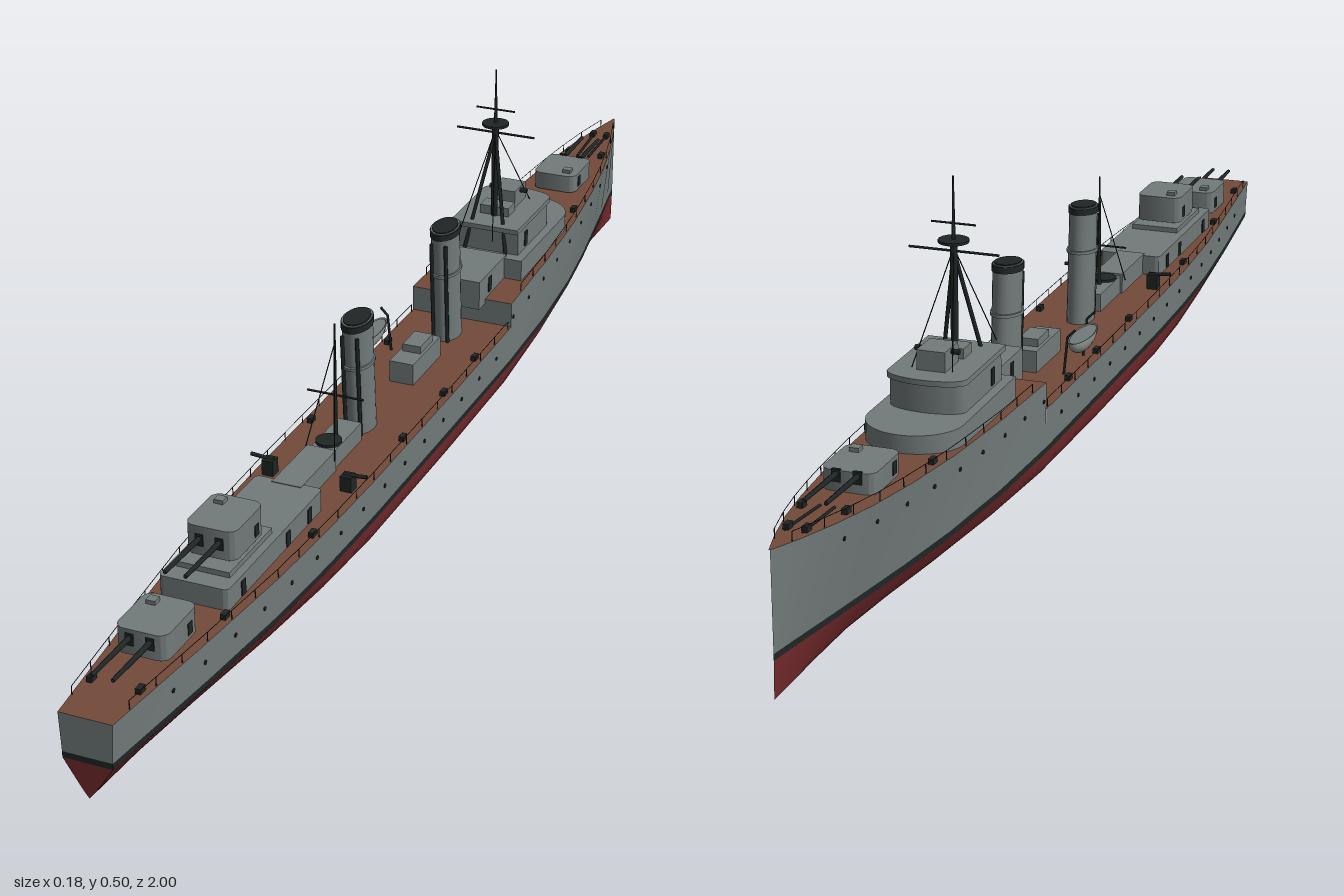
import * as THREE from 'three';
import { toCreasedNormals } from 'three/addons/utils/BufferGeometryUtils.js';

const mat = (name, color, side = THREE.FrontSide) => {
  const m = new THREE.MeshStandardMaterial({ color, side });
  m.name = name;
  return m;
};

// Hull stations: z, deck half-width, waterline half-width, deck height, bilge fullness
const STATIONS = [
  [-1, 0.001, 0.001, 0.2, 0], [-0.95, 0.017, 0.009, 0.196, 0], [-0.88, 0.035, 0.021, 0.191, 0.1],
  [-0.8, 0.05, 0.034, 0.185, 0.2], [-0.7, 0.063, 0.05, 0.179, 0.4], [-0.58, 0.074, 0.066, 0.173, 0.6],
  [-0.42, 0.082, 0.079, 0.167, 0.8], [-0.25, 0.086, 0.085, 0.163, 0.95], [-0.25, 0.086, 0.085, 0.122, 0.95],
  [0, 0.087, 0.086, 0.12, 1], [0.3, 0.087, 0.086, 0.12, 1], [0.45, 0.084, 0.083, 0.12, 0.9],
  [0.6, 0.077, 0.076, 0.12, 0.7], [0.78, 0.061, 0.06, 0.12, 0.4], [0.9, 0.049, 0.047, 0.12, 0.2], [1, 0.039, 0.036, 0.12, 0.05],
];

// Interpolated station at z
function stationAt(z) {
  let i = 0;
  while (i < STATIONS.length - 2 && z > STATIONS[i + 1][0]) i++;
  const a = STATIONS[i], b = STATIONS[i + 1], t = (z - a[0]) / (b[0] - a[0] || 1);
  return a.map((v, k) => v + (b[k] - v) * t);
}
const deckY = (z) => stationAt(z)[3];

// Cross-section from the deck edge down to the keel
function section([z, w, wl, d, f]) {
  const bilge = [[0.65, 0.985], [0.4, 0.92], [0.22, 0.8], [0.13, 0.62], [0, 0]];
  return [[w, d], [wl, 0.062], [wl, 0.053], ...bilge.map(([t, full]) => [wl * (t + (full - t) * f), 0.053 * t])]
    .map(([x, y]) => [x, y, z]);
}

export function createModel() {
  const ship = new THREE.Group();
  ship.name = 'warship';
  const grey = mat('hull grey', 0x727a7a);
  const red = mat('bottom red', 0x742a2c);
  const brown = mat('deck brown', 0x734a39);
  const black = mat('dark fittings', 0x1f2625);
  const pale = mat('boat grey', 0x929896, THREE.DoubleSide);

  const add = (name, geo, material, x = 0, y = 0, z = 0, parent = ship) => {
    const m = new THREE.Mesh(geo, material);
    m.name = name;
    m.position.set(x, y, z);
    parent.add(m);
    return m;
  };
  // Box standing on y
  const box = (name, w, h, d, material, x, y, z, parent) =>
    add(name, new THREE.BoxGeometry(w, h, d), material, x, y + h / 2, z, parent);
  // Round bar between two points
  const rod = (name, a, b, r, material = black, parent = ship, r2 = r) => {
    const p = new THREE.Vector3(...a), q = new THREE.Vector3(...b), dir = q.clone().sub(p);
    const m = add(name, new THREE.CylinderGeometry(r2, r, dir.length(), 6), material, 0, 0, 0, parent);
    m.position.copy(p).add(q).multiplyScalar(0.5);
    m.quaternion.setFromUnitVectors(new THREE.Vector3(0, 1, 0), dir.normalize());
    return m;
  };
  // Upright prism from a plan shape whose +y points to the bow
  const prism = (name, shape, h, material, x, y, z, parent) => {
    const geo = new THREE.ExtrudeGeometry(shape, { depth: h, bevelEnabled: false, curveSegments: 8 });
    return add(name, toCreasedNormals(geo.rotateX(-Math.PI / 2), 0.6), material, x, y, z, parent);
  };
  const roundedPlan = (w, d, r) => {
    const s = new THREE.Shape(), a = w / 2 - r, b = d / 2 - r;
    s.absarc(a, b, r, 0, Math.PI / 2).absarc(-a, b, r, Math.PI / 2, Math.PI);
    s.absarc(-a, -b, r, Math.PI, Math.PI * 1.5).absarc(a, -b, r, Math.PI * 1.5, Math.PI * 2);
    return s;
  };
  // Plan with a curved front: half-width, length of straight part, depth of curve
  const bowedPlan = (w, len, curve) => {
    const s = new THREE.Shape();
    s.moveTo(-w, 0).lineTo(w, 0).lineTo(w, len);
    s.absellipse(0, len, w, curve, 0, Math.PI, false, 0);
    return s;
  };

  // Hull plating, sorted by colour
  const faces = { side: [], stripe: [], bottom: [], deck: [] };
  const quad = (key, a, b, c, d) => faces[key].push(...a, ...b, ...c, ...a, ...c, ...d);
  const flip = ([x, y, z]) => [-x, y, z];
  const rowKey = (j) => (j === 0 ? 'side' : j === 1 ? 'stripe' : 'bottom');
  const rings = STATIONS.map(section);
  for (let i = 0; i < rings.length - 1; i++) {
    const p = rings[i], q = rings[i + 1];
    const step = STATIONS[i][0] === STATIONS[i + 1][0];
    quad(step ? 'side' : 'deck', flip(p[0]), flip(q[0]), q[0], p[0]);
    for (let j = 0; !step && j < p.length - 1; j++) {
      quad(rowKey(j), p[j], q[j], q[j + 1], p[j + 1]);
      quad(rowKey(j), flip(p[j + 1]), flip(q[j + 1]), flip(q[j]), flip(p[j]));
    }
  }
  const end = rings[rings.length - 1];
  for (let j = 0; j < end.length - 1; j++) quad(rowKey(j), flip(end[j]), flip(end[j + 1]), end[j + 1], end[j]);
  const hullParts = [['hullSides', 'side', grey], ['waterlineStripe', 'stripe', black], ['hullBottom', 'bottom', red], ['deck', 'deck', brown]];
  for (const [name, key, material] of hullParts) {
    const geo = new THREE.BufferGeometry();
    geo.setAttribute('position', new THREE.Float32BufferAttribute(faces[key], 3));
    add(name, toCreasedNormals(geo, 0.5), material);
  }

  // Twin gun turrets; dir is +1 facing the stern, -1 facing the bow
  const turret = (name, y, z, dir, h = 0.042) => {
    const g = new THREE.Group();
    g.name = name;
    g.position.set(0, y, z);
    if (dir < 0) g.rotation.y = Math.PI;
    ship.add(g);
    add('turretRing', new THREE.CylinderGeometry(0.03, 0.03, 0.008, 20), grey, 0, 0.002, 0, g);
    prism('gunHouse', roundedPlan(0.076, 0.092, 0.015), h - 0.004, grey, 0, 0.004, 0, g);
    box('turretHatch', 0.014, 0.006, 0.014, grey, -0.018, h, -0.025, g);
    for (const s of [-1, 1]) {
      rod('gunBarrel', [s * 0.015, 0.029, 0.04], [s * 0.015, 0.031, 0.145], 0.0042, black, g, 0.003);
      box('gunPort', 0.012, 0.018, 0.004, black, s * 0.015, 0.018, 0.0455, g);
      box('turretDoor', 0.002, 0.018, 0.012, black, s * 0.038, 0.01, -0.02, g);
    }
  };
  turret('sternTurret', 0.12, 0.808, 1);
  turret('upperAftTurret', 0.16, 0.608, 1, 0.048);
  turret('bowTurret', deckY(-0.72) - 0.002, -0.722, -1, 0.034);

  // After deckhouses
  prism('aftDeckhouse', roundedPlan(0.104, 0.3, 0.008), 0.034, grey, 0, 0.118, 0.555);
  box('aftTurretBase', 0.08, 0.04, 0.13, grey, 0, 0.12, 0.61);
  box('aftPassage', 0.046, 0.034, 0.12, grey, 0, 0.119, 0.355);
  box('aftMastHouse', 0.038, 0.03, 0.11, grey, 0, 0.119, 0.25);
  box('midDeckhouse', 0.04, 0.036, 0.11, grey, 0, 0.119, -0.055);
  box('midLocker', 0.03, 0.012, 0.05, grey, 0, 0.155, -0.065);
  for (const s of [-1, 1]) {
    for (const z of [0.45, 0.52, 0.66]) box('deckhouseDoor', 0.002, 0.022, 0.012, black, s * 0.0525, 0.122, z);
    rod('sideGun', [s * 0.055, 0.143, 0.34], [s * 0.092, 0.146, 0.34], 0.003);
    box('sideGunMount', 0.018, 0.024, 0.018, black, s * 0.062, 0.12, 0.34);
  }

  // Bridge structure
  prism('forecastleHouse', bowedPlan(0.07, 0.2, 0.065), 0.036, grey, 0, 0.164, -0.335);
  box('bridgeRearHouse', 0.08, 0.048, 0.12, grey, 0, 0.155, -0.285);
  prism('bridge', bowedPlan(0.056, 0.135, 0.022), 0.044, grey, 0, 0.198, -0.355);
  prism('bridgeTop', bowedPlan(0.059, 0.15, 0.024), 0.008, grey, 0, 0.241, -0.343);
  box('director', 0.042, 0.03, 0.05, grey, 0, 0.248, -0.455);
  rod('rangefinder', [-0.033, 0.272, -0.455], [0.033, 0.272, -0.455], 0.004);
  box('bridgeLocker', 0.05, 0.016, 0.03, grey, 0, 0.248, -0.405);
  for (const s of [-1, 1]) {
    box('bridgeDoor', 0.002, 0.025, 0.012, black, s * 0.0565, 0.205, -0.39);
    box('rearHouseDoor', 0.002, 0.025, 0.012, black, s * 0.0405, 0.17, -0.27);
  }

  // Raked oval funnels
  const funnel = (name, z, top) => {
    const h = top - 0.118, g = new THREE.Group();
    g.name = name;
    g.position.set(0, 0.118, z);
    g.rotation.x = 0.07;
    ship.add(g);
    const oval = (part, r, y, hh, material) => {
      const m = add(part, new THREE.CylinderGeometry(r, r, hh, 24), material, 0, y, 0, g);
      m.scale.z = 1.5;
    };
    oval('funnelCasing', 0.021, h / 2, h, grey);
    oval('funnelBand', 0.0235, h * 0.62, 0.005, grey);
    oval('funnelRim', 0.0225, h - 0.006, 0.01, black);
    oval('funnelMouth', 0.019, h + 0.0005, 0.003, black);
    for (const s of [-1, 1]) rod('steamPipe', [s * 0.012, 0, 0.03], [s * 0.012, h * 0.9, 0.03], 0.003, black, g);
  };
  funnel('aftFunnel', 0.152, 0.306);
  funnel('forwardFunnel', -0.19, 0.315);

  // Foremast tripod with yards and lookout platform
  const mz = -0.39;
  rod('foremast', [0, 0.2, mz], [0, 0.41, mz], 0.0055);
  rod('foreTopmast', [0, 0.4, mz], [0, 0.503, mz], 0.003, black, ship, 0.0012);
  for (const s of [-1, 1]) {
    rod('mastLeg', [s * 0.036, 0.2, mz + 0.04], [0, 0.395, mz], 0.003);
    rod('mastStay', [s * 0.03, 0.24, mz + 0.085], [0, 0.4, mz], 0.0008);
    rod('mastStay', [s * 0.03, 0.25, mz - 0.085], [0, 0.4, mz], 0.0008);
  }
  add('lookoutPlatform', new THREE.CylinderGeometry(0.022, 0.022, 0.004, 16), black, 0, 0.41, mz);
  rod('lowerYard', [-0.067, 0.395, mz], [0.067, 0.395, mz], 0.0018);
  rod('upperYard', [-0.033, 0.435, mz], [0.033, 0.435, mz], 0.0015);

  // Mainmast
  rod('mainmast', [0, 0.14, 0.245], [0, 0.33, 0.245], 0.0035, black, ship, 0.0012);
  rod('mainYard', [-0.045, 0.215, 0.245], [0.045, 0.215, 0.245], 0.0016);
  add('searchlightPlatform', new THREE.CylinderGeometry(0.02, 0.02, 0.004, 14), black, 0, 0.152, 0.27);
  for (const s of [-1, 1]) rod('mainStay', [s * 0.025, 0.14, 0.305], [0, 0.3, 0.245], 0.0008);

  // Ship's boat on davits, starboard side
  const boatGeo = new THREE.SphereGeometry(1, 16, 8, 0, Math.PI * 2, Math.PI / 2, Math.PI / 2);
  add('boatHull', boatGeo, pale, -0.075, 0.172, -0.055).scale.set(0.016, 0.026, 0.052);
  add('boatCover', new THREE.CylinderGeometry(1, 1, 0.002, 16), grey, -0.075, 0.17, -0.055).scale.set(0.0145, 1, 0.048);
  for (const z of [-0.1, -0.01]) {
    rod('davit', [-0.06, 0.12, z], [-0.066, 0.18, z], 0.002);
    rod('davitArm', [-0.066, 0.18, z], [-0.078, 0.192, z], 0.002);
  }

  // Mirrored deck fittings, portholes and guard rails
  const disc = new THREE.CylinderGeometry(0.0032, 0.0032, 0.003, 8).rotateZ(Math.PI / 2);
  for (const s of [-1, 1]) {
    for (const z of [-0.92, -0.84, -0.62, -0.12, 0.01, 0.17, 0.48, 0.72, 0.92])
      box('bollard', 0.008, 0.009, 0.014, black, s * (stationAt(z)[1] - 0.012), deckY(z) - 0.001, z);
    rod('anchorChain', [s * 0.01, deckY(-0.83) + 0.002, -0.83], [s * 0.012, deckY(-0.93) + 0.002, -0.93], 0.002);
    for (let z = -0.86; z < 0.9; z += 0.075) {
      const [, w, wl, d] = stationAt(z), y = d - 0.027;
      add('porthole', disc, black, s * (wl + (w - wl) * (y - 0.062) / (d - 0.062)), y, z);
    }
    let last = null;
    for (let z = -0.96; z < 0.99; z += 0.06) {
      const [, w, , d] = stationAt(z), p = [s * (w - 0.002), d + 0.013, z];
      rod('railPost', [p[0], d, z], p, 0.0007);
      if (last && Math.abs(last[1] - p[1]) < 0.02) rod('railWire', last, p, 0.0005);
      last = p;
    }
  }
  return ship;
}
